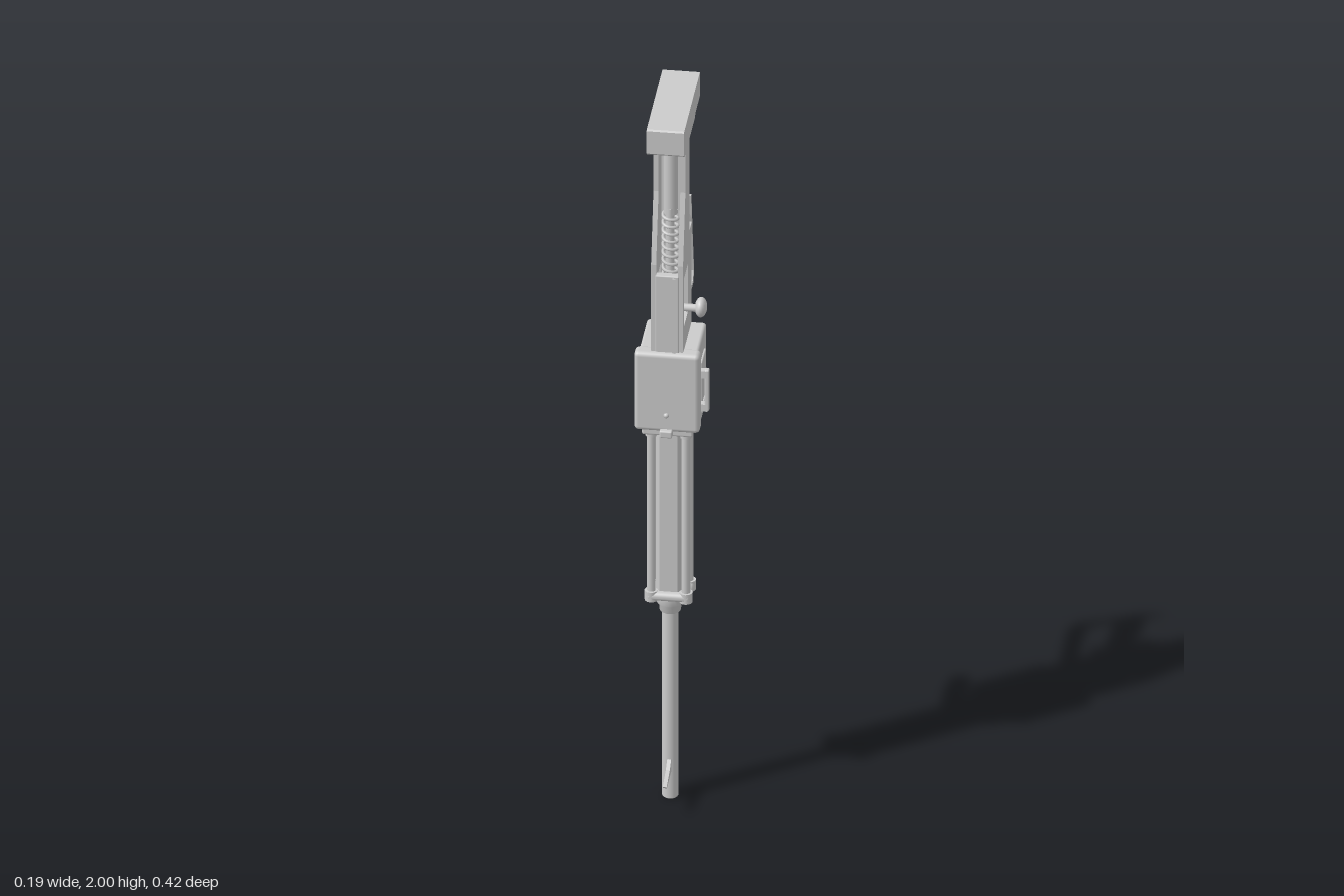
import * as THREE from 'three';
import { RoundedBoxGeometry } from 'three/addons/geometries/RoundedBoxGeometry.js';

const CX = -0.014; // centre line of the body in x
const BZ = 0.103;  // barrel axis in z

export function createModel() {
  const root = new THREE.Group();
  const mat = new THREE.MeshStandardMaterial({ color: 0xcccccc });

  const add = (name, geo, x = 0, y = 0, z = 0, parent = root) => {
    const m = new THREE.Mesh(geo, mat);
    m.name = name;
    m.position.set(x, y, z);
    parent.add(m);
    return m;
  };
  const group = (name, x = 0, y = 0, z = 0) => {
    const g = new THREE.Group();
    g.name = name;
    g.position.set(x, y, z);
    root.add(g);
    return g;
  };
  // box given by its limits, optionally rounded
  const box = (name, x0, x1, y0, y1, z0, z1, r = 0) => {
    const s = [x1 - x0, y1 - y0, z1 - z0];
    const geo = r ? new RoundedBoxGeometry(...s, 2, r) : new THREE.BoxGeometry(...s);
    return add(name, geo, (x0 + x1) / 2, (y0 + y1) / 2, (z0 + z1) / 2);
  };
  const cyl = (r0, r1, h, n = 20) => new THREE.CylinderGeometry(r0, r1, h, n);
  const shapeOf = (pts) => new THREE.Shape(pts.map(([a, b]) => new THREE.Vector2(a, b)));
  const holeOf = (pts) => new THREE.Path(pts.map(([a, b]) => new THREE.Vector2(a, b)));
  // side profile in (z, y) given a width along x
  const sideProfile = (shape, width) => {
    const geo = new THREE.ExtrudeGeometry(shape, { depth: width, bevelEnabled: false, curveSegments: 10 });
    return geo.translate(0, 0, -width / 2).rotateY(-Math.PI / 2);
  };
  const lathe = (pts) => new THREE.LatheGeometry(pts.map(([r, h]) => new THREE.Vector2(r, h)), 20);

  // Barrel, muzzle bore and front sight
  add('barrel', lathe([[0.013, 0.03], [0.013, 0], [0.019, 0], [0.021, 0.003], [0.021, 1.1]]), CX, 0, BZ);
  add('bore', cyl(0.013, 0.013, 0.004), CX, 0.03, BZ);
  add('frontSight', sideProfile(shapeOf([[0.12, 0.08], [0.205, 0.079], [0.21, 0.085], [0.15, 0.1], [0.12, 0.118]]), 0.01), CX);

  // Muzzle collar and end ring
  add('collar', lathe([[0.02, 0.54], [0.027, 0.545], [0.029, 0.565], [0.035, 0.57], [0.035, 0.59]]), CX, 0, BZ);
  const ring = add('endRing', new RoundedBoxGeometry(0.115, 0.024, 0.09, 3, 0.011), CX, 0.602, BZ);
  ring.scale.z = 1.08;

  // Eight-sided shroud with a row of vent holes on both sides
  const shroud = group('shroud', CX, 0, BZ);
  const half = 0.033, flat = 0.046, y0 = 0.6, y1 = 1.1;
  for (let i = 0; i < 8; i++) {
    const chamfer = i % 2 === 1;
    const w = chamfer ? (half - flat / 2) * Math.SQRT2 : flat;
    const plate = shapeOf([[-w / 2, y0], [w / 2, y0], [w / 2, y1], [-w / 2, y1]]);
    if (i % 4 === 2) {
      for (let k = 0; k < 7; k++) {
        const hole = new THREE.Path();
        hole.absarc(0, 0.636 + k * 0.0655, 0.018, 0, Math.PI * 2, true);
        plate.holes.push(hole);
      }
    }
    const apothem = chamfer ? (half + flat / 2) / Math.SQRT2 : half;
    const geo = new THREE.ExtrudeGeometry(plate, { depth: 0.005, bevelEnabled: false, curveSegments: 10 });
    geo.translate(0, 0, apothem - 0.005);
    add('shroudPlate', geo, 0, 0, 0, shroud).rotation.y = i * Math.PI / 4;
  }

  // Four guide rods with end nuts
  const rods = group('guideRods', CX, 0, BZ);
  for (const sx of [-1, 1]) for (const sz of [-1, 1]) {
    const x = sx * 0.044, z = sz * 0.032;
    add('guideRod', cyl(0.011, 0.011, 0.5, 12), x, 0.85, z, rods);
    add('rodNut', cyl(0.017, 0.017, 0.028, 12), x, 0.602, z, rods);
    add('rodSocket', cyl(0.015, 0.015, 0.025, 12), x, 1.082, z, rods);
  }

  // Ribbed forward grip
  const ribs = [[0, 0], [0.016, 0], [0.016, 0.02]];
  for (let i = 0; i < 7; i++) {
    const h = 0.022 + i * 0.016;
    ribs.push([0.018, h], [0.026, h + 0.003], [0.026, h + 0.009], [0.018, h + 0.012]);
  }
  ribs.push([0.021, 0.136], [0.021, 0.155], [0.017, 0.16], [0, 0.16]);
  add('foreGrip', lathe(ribs), CX, 0.95, 0.058).rotation.x = -Math.PI / 2;

  // Receiver box, lid and fittings
  box('receiverBase', -0.078, 0.052, 1.088, 1.115, 0.018, 0.17, 0.006);
  box('receiver', -0.086, 0.064, 1.105, 1.33, 0, 0.15, 0.008);
  box('receiverLid', -0.097, 0.07, 1.105, 1.333, 0.138, 0.18, 0.012);
  box('lidHandle', 0.078, 0.09, 1.155, 1.275, 0.13, 0.148, 0.004);
  for (const y of [1.165, 1.262]) box('handlePost', 0.06, 0.086, y - 0.01, y + 0.01, 0.13, 0.148);
  box('sidePanel', 0.06, 0.069, 1.16, 1.28, 0.045, 0.118, 0.003);
  box('hingeBar', 0.06, 0.068, 1.12, 1.14, 0.02, 0.13, 0.003);
  box('leftRail', -0.092, -0.08, 1.15, 1.29, 0.06, 0.078, 0.005);
  box('lidLatch', -0.03, 0.002, 1.095, 1.115, 0.15, 0.193, 0.004);
  add('lidRivet', new THREE.SphereGeometry(0.007, 10, 8), CX, 1.155, 0.18);

  // Stock: two windowed cheeks around an open channel
  const cheek = shapeOf([[0, 1.32], [0.165, 1.32], [0.165, 1.585], [0.12, 1.775], [0.12, 1.93],
    [0.045, 1.93], [0.045, 1.62], [0, 1.62]]);
  cheek.holes.push(holeOf([[0.072, 1.4], [0.072, 1.54], [0.145, 1.54], [0.145, 1.4]]));
  for (const s of [-1, 1]) add('stockCheek', sideProfile(cheek, 0.013), CX + s * 0.034);
  box('stockSpine', -0.05, 0.022, 1.32, 1.93, 0.046, 0.066);
  box('lowerSpine', -0.05, 0.022, 1.32, 1.618, 0.002, 0.05);
  box('frontCover', -0.044, 0.016, 1.32, 1.555, 0.148, 0.168, 0.003);
  box('coverStrip', 0.0, 0.008, 1.33, 1.55, 0.165, 0.171);
  box('backPlate', -0.048, 0.02, 1.31, 1.632, -0.009, 0.012, 0.003);
  box('backLatch', -0.034, 0.006, 1.19, 1.292, -0.022, 0.004, 0.004);
  box('latchNeck', -0.026, -0.002, 1.235, 1.33, -0.01, 0.004);

  // Recoil spring and its rod inside the channel
  const turns = 12, coil = [];
  for (let i = 0; i <= turns * 10; i++) {
    const a = i / 10 * Math.PI * 2;
    coil.push(new THREE.Vector3(Math.cos(a) * 0.019, 1.45 + 0.26 * i / (turns * 10), Math.sin(a) * 0.019));
  }
  add('spring', new THREE.TubeGeometry(new THREE.CatmullRomCurve3(coil), 240, 0.0042, 6), CX, 0, BZ);
  add('springCore', cyl(0.011, 0.011, 0.3, 12), CX, 1.57, BZ);
  add('springRod', cyl(0.018, 0.018, 0.23, 16), CX, 1.815, 0.095);
  box('boltCarrier', -0.042, 0.012, 1.33, 1.45, 0.07, 0.145);

  // Charging handle with a round knob
  add('chargingStem', cyl(0.01, 0.01, 0.06, 12), 0.03, 1.43, BZ).rotation.z = Math.PI / 2;
  const knob = add('chargingKnob', new THREE.SphereGeometry(0.026, 18, 12), 0.063, 1.43, 0.097);
  knob.scale.x = 0.6;

  // Slanted ribbed pistol grip
  const grip = group('pistolGrip', CX, 1.497, 0);
  grip.rotation.x = -Math.PI / 2 + 0.17;
  add('gripCore', cyl(0.038, 0.038, 0.165), 0, 0.082, 0, grip).scale.x = 0.5;
  for (let i = 0; i < 7; i++) {
    const rib = add('gripRib', new THREE.TorusGeometry(0.038, 0.008, 8, 24), 0, 0.025 + i * 0.02, 0, grip);
    rib.rotation.x = Math.PI / 2;
    rib.scale.x = 0.52;
  }

  // Strap guard bent around the grip
  const guard = shapeOf([[-0.146, 1.607], [-0.17, 1.48], [-0.195, 1.362], [-0.186, 1.338], [0, 1.338],
    [0, 1.327], [-0.19, 1.327], [-0.206, 1.348], [-0.206, 1.365], [-0.18, 1.48], [-0.156, 1.607]]);
  add('gripGuard', sideProfile(guard, 0.038), CX);

  // Curved trigger
  const trigger = shapeOf([[0, 1.445], [-0.03, 1.44], [-0.055, 1.427], [-0.075, 1.404],
    [-0.05, 1.418], [-0.028, 1.426], [0, 1.427]]);
  add('trigger', sideProfile(trigger, 0.014), CX);

  // Shoulder butt
  const butt = shapeOf([[-0.105, 1.936], [-0.095, 1.93], [-0.02, 1.93], [0.0, 1.922], [0.19, 1.922],
    [0.203, 1.932], [0.203, 1.997], [0.198, 2], [-0.1, 2], [-0.105, 1.996]]);
  add('shoulderButt', sideProfile(butt, 0.095), -0.0135);

  return root;
}
